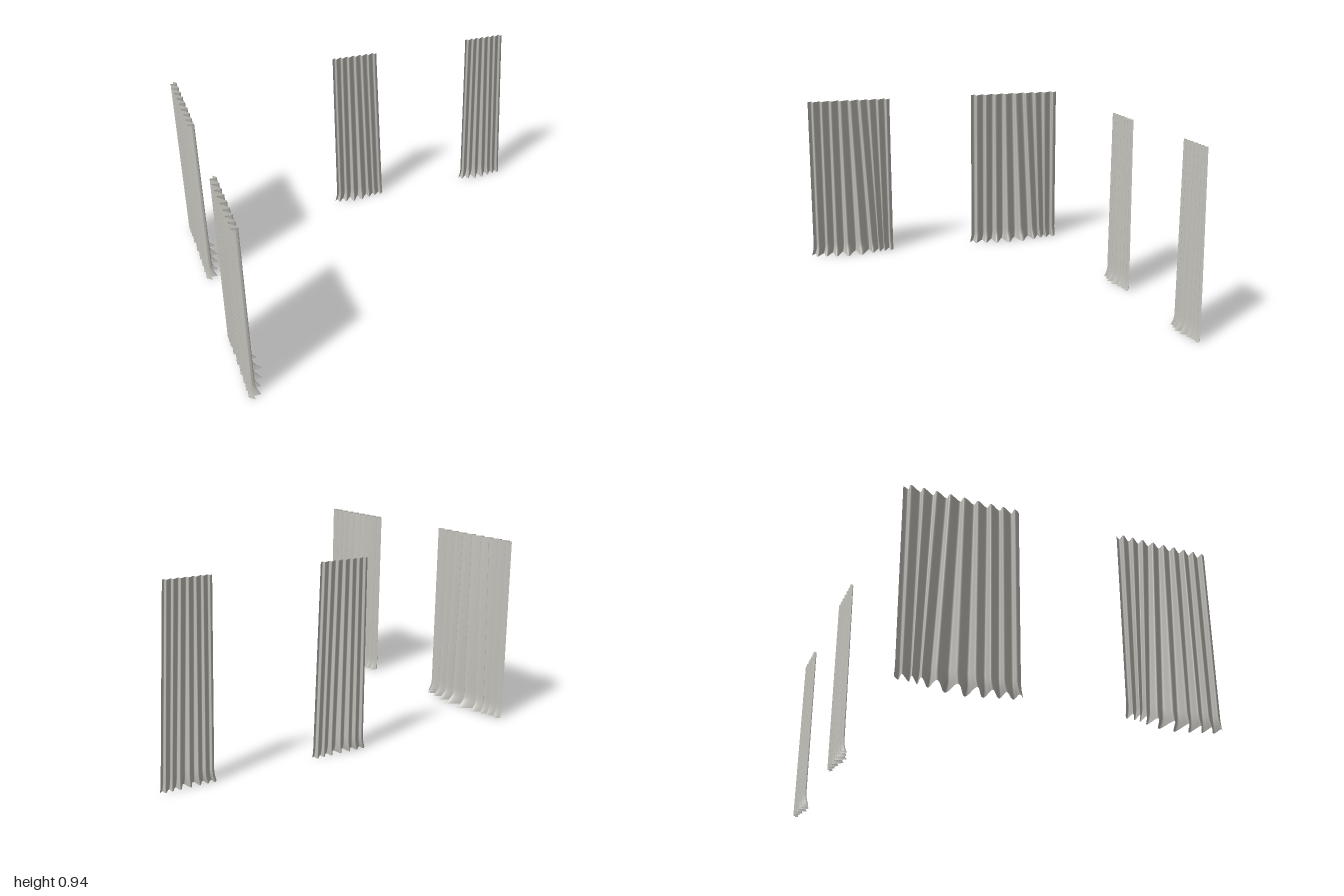
import * as THREE from 'three';

const HEIGHT = 0.935;

// Pleated cloth: hangs in local x (width), y (height), z (depth towards the room)
function curtainGeometry({ width, folds, depth, midLean, edgeLean }) {
  const geo = new THREE.PlaneGeometry(1, 1, folds * 16, 18);
  const pos = geo.attributes.position;
  const skew = (width / (2 * Math.PI * folds)) * 1.25;
  for (let i = 0; i < pos.count; i++) {
    const v = pos.getX(i) + 0.5;
    const t = Math.pow(pos.getY(i) + 0.5, 2.2); // rows gather near the hem
    const drop = 1 - t;
    // slightly uneven, overhanging pleats
    const phase = Math.PI / 2 + 2 * Math.PI * folds * (v + 0.012 * Math.sin(2 * Math.PI * v));
    const lobe = 0.5 + 0.5 * Math.cos(phase);
    const middle = Math.exp(-Math.pow((v - 0.45) / 0.24, 2));
    // hem kicks outwards, most in the middle
    const hem = Math.pow(Math.max(0, 1 - t / 0.055), 1.4);
    const z = lobe * (0.035 + 0.028 * drop * middle + hem * (0.02 + 0.026 * middle)) + 0.007 * drop;
    // pleats drift sideways as they fall
    const drift = drop * (midLean * Math.exp(-Math.pow((v - 0.65) / 0.2, 2)) + edgeLean * v * v);
    const kick = -0.014 * hem * Math.max(0, 1 - 1.3 * v);
    pos.setXYZ(i,
      (v - 0.5) * width - skew * Math.cos(phase) + drift + kick,
      t * HEIGHT,
      z * depth);
  }
  geo.computeVertexNormals();
  return geo;
}

export function createModel() {
  const model = new THREE.Group();
  const cloth = new THREE.MeshStandardMaterial({ color: 0xc2c0ba, side: THREE.DoubleSide });
  cloth.name = 'grey cloth';

  function addCurtain(name, options, x, z, turn) {
    const mesh = new THREE.Mesh(curtainGeometry(options), cloth);
    mesh.name = name;
    mesh.position.set(x, 0, z);
    mesh.rotation.y = turn;
    model.add(mesh);
  }

  // Wide pair along the side wall
  const wide = { folds: 9, depth: 1, midLean: 0.05, edgeLean: 0 };
  addCurtain('sideCurtainFront', { ...wide, width: 0.49 }, -1, 0.535, Math.PI / 2);
  addCurtain('sideCurtainBack', { ...wide, width: 0.56 }, -1, -0.502, Math.PI / 2);

  // Narrow pair along the back wall
  const narrow = { folds: 7, depth: 0.5, midLean: 0.012, edgeLean: 0.028 };
  addCurtain('backCurtainMiddle', { ...narrow, width: 0.262 }, 0.049, -0.778, 0);
  addCurtain('backCurtainLeft', { ...narrow, width: 0.235 }, 0.853, -0.778, 0);

  return model;
}
